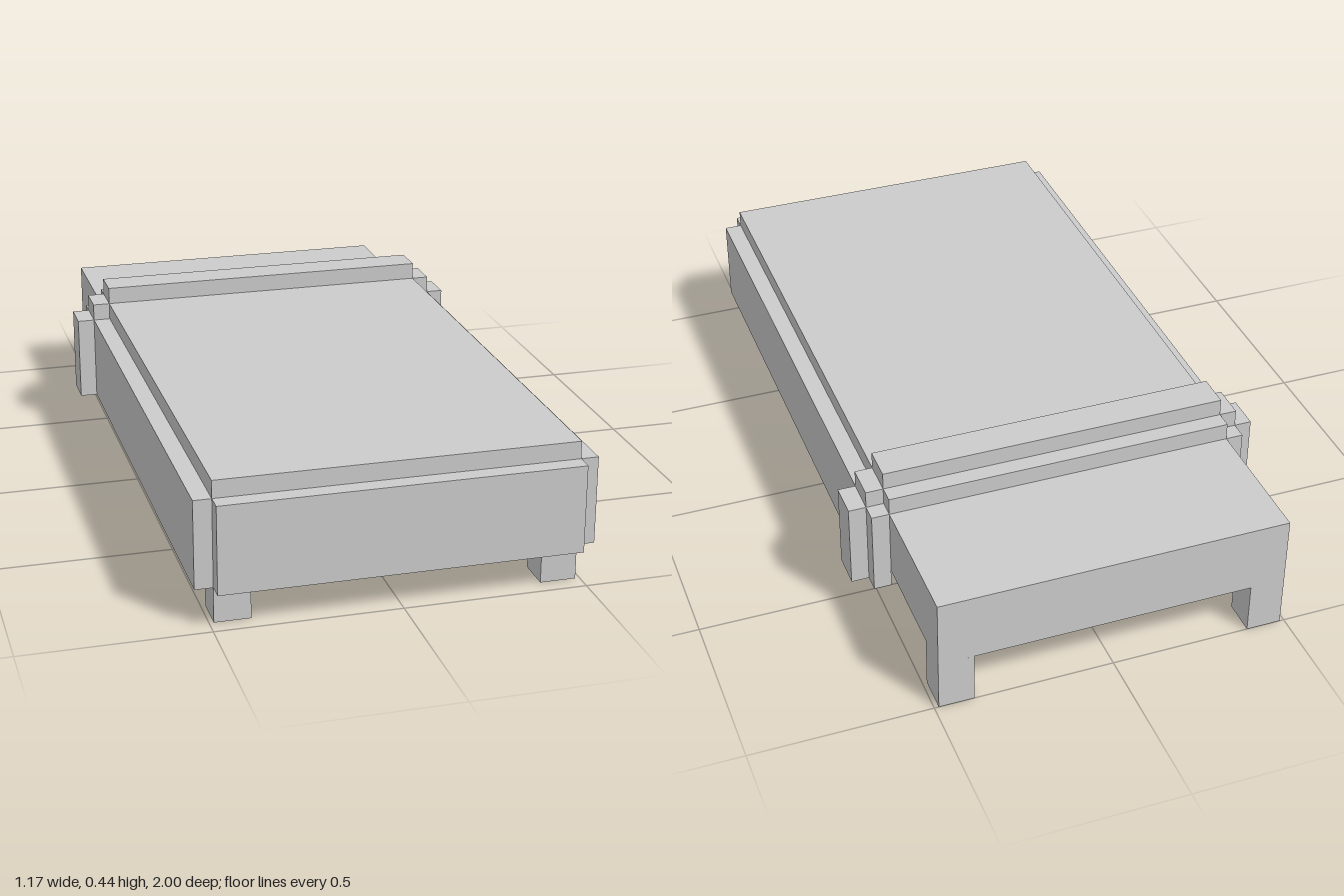
import * as THREE from 'three';

// The bed is laid out on a block grid, 41 blocks long
const U = 2 / 41;
const material = new THREE.MeshStandardMaterial({ color: 0xcccccc, flatShading: true });

// Box from its minimum and maximum corners, in blocks
function block(name, [x0, y0, z0], [x1, y1, z1]) {
  const geometry = new THREE.BoxGeometry((x1 - x0) * U, (y1 - y0) * U, (z1 - z0) * U);
  const mesh = new THREE.Mesh(geometry, material);
  mesh.name = name;
  mesh.position.set((x0 + x1) / 2 * U, (y0 + y1) / 2 * U, (z0 + z1) / 2 * U);
  return mesh;
}

function part(name, ...meshes) {
  const group = new THREE.Group();
  group.name = name;
  group.add(...meshes);
  return group;
}

// The same box on the left (+x) and the right (-x)
function pair(name, [x0, y0, z0], [x1, y1, z1]) {
  return [
    block(name + 'Left', [x0, y0, z0], [x1, y1, z1]),
    block(name + 'Right', [-x1, y0, z0], [-x0, y1, z1]),
  ];
}

export function createModel() {
  const head = -20.5, foot = 19.5;

  // Mattress on four square legs
  const mattress = block('mattress', [-10, 3, head], [10, 7, foot]);
  const legs = part('legs',
    ...pair('frontLeg', [8, 0, foot - 2], [10, 3, foot]),
    ...pair('backLeg', [8, 0, head], [10, 3, head + 2]));

  // Blanket lying on the mattress and hanging over the sides and foot
  const blanket = part('blanket',
    block('blanketTop', [-10, 7, -12.5], [10, 8, foot]),
    block('blanketFoot', [-10, 2, foot], [10, 7, foot + 1]),
    ...pair('blanketSide', [10, 2, -12.5], [11, 7, foot]));

  // Turned-down fold, one layer outside the blanket
  const fold = part('blanketFold',
    block('foldTop', [-10, 8, -11.5], [10, 9, -9.5]),
    ...pair('foldCorner', [10, 7, -11.5], [11, 8, -9.5]),
    ...pair('foldSide', [11, 2, -11.5], [12, 7, -9.5]));

  return part('bed', mattress, legs, blanket, fold);
}
